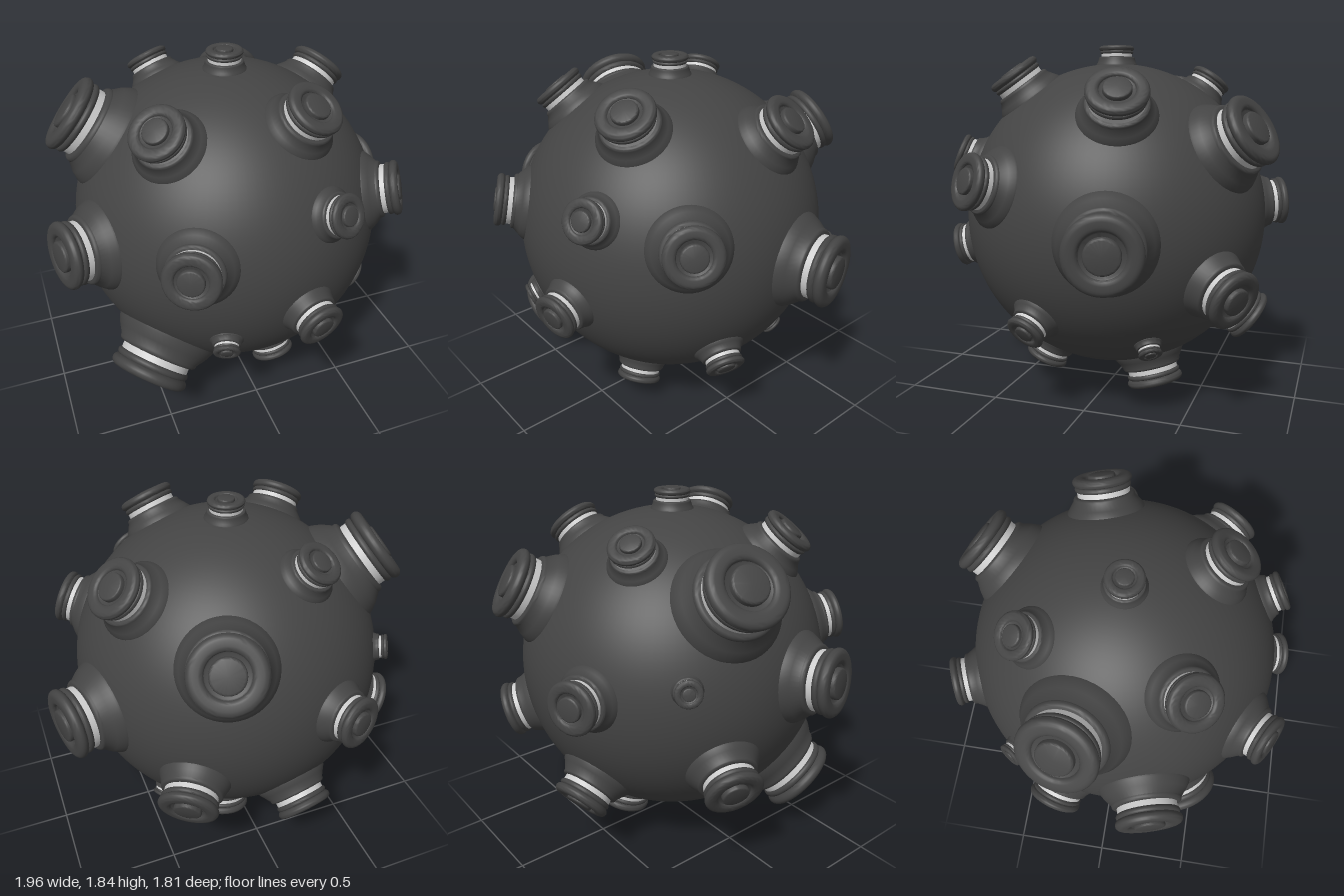
import * as THREE from 'three';
import { toCreasedNormals } from 'three/addons/utils/BufferGeometryUtils.js';

const R = 0.8;
const darkMat = new THREE.MeshStandardMaterial({ color: 0x444444 });
const ringMat = new THREE.MeshStandardMaterial({ color: 0xcccccc });

// Nozzles: outward direction x, y, z, rim radius, base radius / rim radius
const NOZZLES = [
  [0, 1, 0, 0.092, 1.18],
  [-0.465, 0.72, 0.39, 0.137, 1.35],
  [0.265, 0.75, 0.48, 0.142, 1.3],
  [-0.77, 0.61, -0.19, 0.2, 1.38],
  [0.62, 0.65, -0.21, 0.148, 1.32],
  [0.745, 0.235, 0.49, 0.14, 1.45],
  [0.31, 0.325, 0.75, 0.105, 1.27],
  [-0.44, 0.18, 0.79, 0.137, 1.42],
  [0.175, -0.2, 0.86, 0.12, 1.2],
  [-0.26, -0.335, 0.74, 0.067, 1.25],
  [-0.9, 0.07, 0.26, 0.17, 1.36],
  [-0.8, -0.37, -0.27, 0.147, 1.3],
  [-0.61, -0.69, 0.45, 0.21, 1.3],
  [0.94, -0.03, -0.25, 0.182, 1.35],
  [0.3, 0.48, -0.78, 0.18, 1.33],
  [-0.28, 0.73, -0.46, 0.112, 1.3],
  [-0.34, 0.06, -0.84, 0.13, 1.25],
  [-0.69, 0.15, -0.46, 0.065, 1.15],
  [0.48, -0.3, -0.73, 0.15, 1.2],
  [-0.16, -0.56, -0.71, 0.147, 1.3],
  [0.13, -0.89, -0.265, 0.15, 1.27],
  [0.49, -0.6, -0.335, 0.06, 1.2],
  [0.7, -0.49, 0.23, 0.1, 1.3],
  [0.16, -0.81, 0.36, 0.118, 1.22],
];

// Arc of profile points around (cx, cy), angles in degrees
function arc(cx, cy, rx, ry, from, to, n = 6) {
  return Array.from({ length: n + 1 }, (_, i) => {
    const t = THREE.MathUtils.degToRad(from + ((to - from) * i) / n);
    return [cx + rx * Math.cos(t), cy + ry * Math.sin(t)];
  });
}

function turned(name, points, scale, material) {
  const profile = points.map(([r, h]) => new THREE.Vector2(Math.max(r, 0) * scale, h * scale));
  const geo = toCreasedNormals(new THREE.LatheGeometry(profile, 48), 0.7);
  const mesh = new THREE.Mesh(geo, material);
  mesh.name = name;
  return mesh;
}

function makeNozzle([x, y, z, s, b]) {
  const g = new THREE.Group();
  g.name = 'nozzle';
  // the collar foot reaches just below the curved shell
  const foot = -(b * b * s) / (2 * R) - 0.03;
  g.add(turned('collar', [
    [b, foot], [b - 0.02, foot + 0.08], [1 + (b - 1) * 0.6, 0.04], [1.04, 0.25],
    ...arc(0.94, 0.28, 0.1, 0.1, 0, 90, 4), [0.8, 0.38],
  ], s, darkMat));
  g.add(turned('lightRing', [[0.89, 0.3], [0.89, 0.58]], s, ringMat));
  g.add(turned('lowerRim', [
    [0.8, 0.54], ...arc(0.87, 0.63, 0.08, 0.09, -90, 90), [0.8, 0.72],
  ], s, darkMat));
  g.add(turned('rim', [
    [0.8, 0.7], ...arc(0.83, 0.85, 0.17, 0.15, -90, 90, 10),
    ...arc(0.7, 0.9, 0.13, 0.1, 90, 180, 4), [0.54, 0.88], [0, 0.88],
  ], s, darkMat));
  g.add(turned('button', [
    [0.46, 0.86], [0.46, 0.98], ...arc(0.4, 0.98, 0.06, 0.06, 0, 90, 3), [0, 1.05],
  ], s, darkMat));

  const dir = new THREE.Vector3(x, y, z).normalize();
  g.quaternion.setFromUnitVectors(new THREE.Vector3(0, 1, 0), dir);
  g.position.copy(dir).multiplyScalar(R);
  return g;
}

export function createModel() {
  const model = new THREE.Group();
  model.name = 'studdedSphere';

  const body = new THREE.Group();
  body.name = 'body';
  body.position.set(-0.003, 0.96, -0.008);
  model.add(body);

  // Spherical shell
  const shell = new THREE.Mesh(new THREE.SphereGeometry(R, 96, 64), darkMat);
  shell.name = 'shell';
  body.add(shell);

  // Nozzles scattered over the shell
  for (const n of NOZZLES) body.add(makeNozzle(n));

  return model;
}
